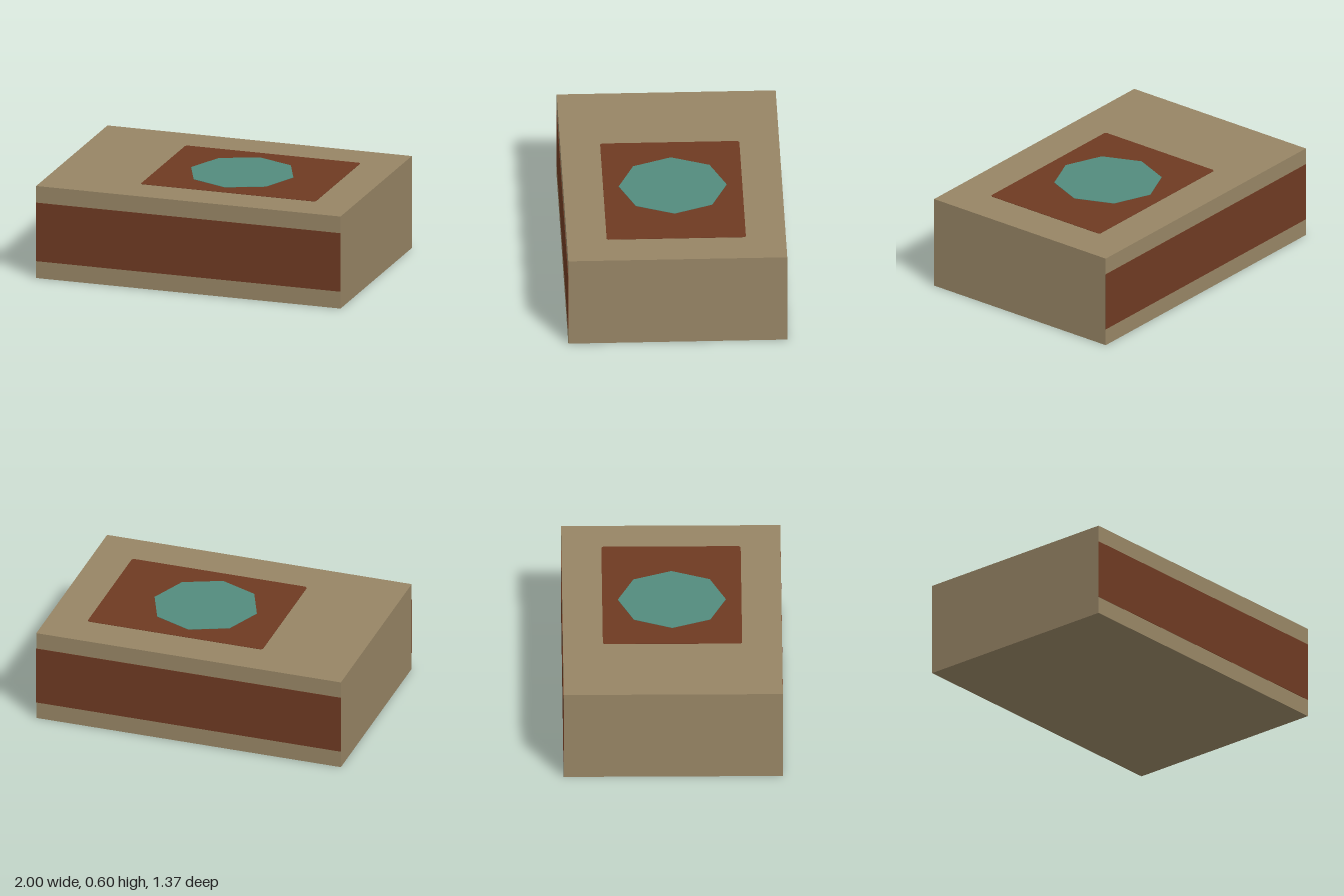
import * as THREE from 'three';

const W = 2, H = 0.6, D = 1.366, T = 0.002;

const tan = new THREE.MeshStandardMaterial({ color: 0x978565 });
tan.name = 'tan';
const brown = new THREE.MeshStandardMaterial({ color: 0x6e3a22 });
brown.name = 'brown';
const teal = new THREE.MeshStandardMaterial({ color: 0x538b7d });
teal.name = 'teal';

function add(group, name, geometry, material, x, y, z) {
  const mesh = new THREE.Mesh(geometry, material);
  mesh.name = name;
  mesh.position.set(x, y, z);
  group.add(mesh);
  return mesh;
}

// Rectangle outline with clipped corners, centred on the origin
function clippedRect(w, d, c) {
  const x = w / 2, y = d / 2;
  return new THREE.Shape([
    [-x + c, -y], [x - c, -y], [x, -y + c], [x, y - c],
    [x - c, y], [-x + c, y], [-x, y - c], [-x, -y + c],
  ].map(([a, b]) => new THREE.Vector2(a, b)));
}

export function createModel() {
  const group = new THREE.Group();
  group.name = 'box';

  // Solid body
  add(group, 'body', new THREE.BoxGeometry(W, H - T, D - 2 * T), tan, 0, (H - T) / 2, 0);

  // Wide band on the front and back
  for (const s of [1, -1]) {
    add(group, s > 0 ? 'frontBand' : 'backBand',
      new THREE.BoxGeometry(W, 0.38, T), brown, 0, 0.3, s * (D / 2 - T / 2));
  }

  // Panel on the top, offset to the left
  const panel = new THREE.ExtrudeGeometry(clippedRect(1.15, 0.866, 0.012), { depth: T, bevelEnabled: false });
  panel.rotateX(-Math.PI / 2);
  add(group, 'topPanel', panel, brown, 0.175, H - T, 0);

  // Octagon on the panel, corners on the axes
  add(group, 'octagon', new THREE.CylinderGeometry(0.336, 0.336, T, 8), teal, 0.12, H + T / 2, 0);

  return group;
}
